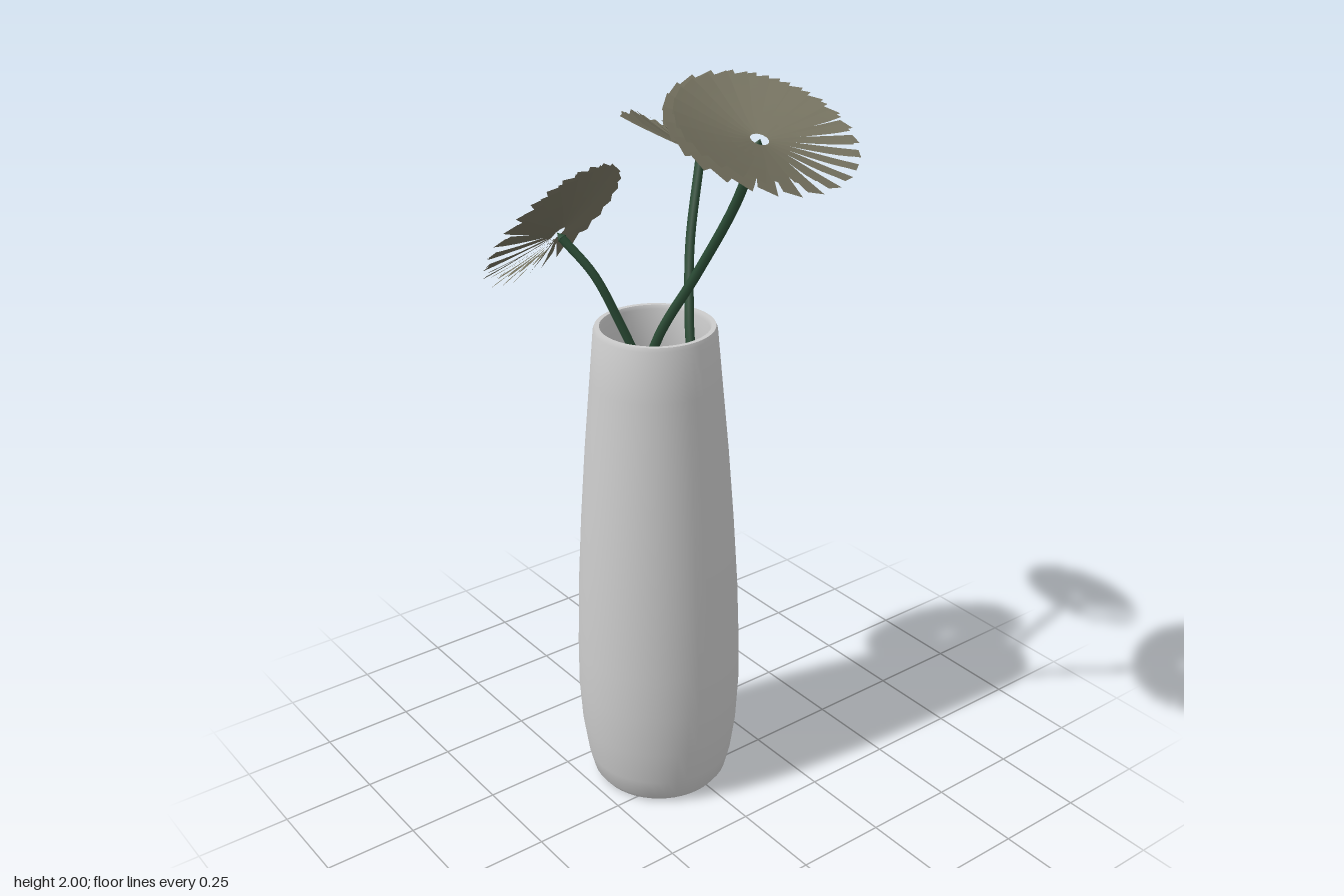
import * as THREE from 'three';
import { toCreasedNormals } from 'three/addons/utils/BufferGeometryUtils.js';

const vaseMat = new THREE.MeshStandardMaterial({ color: 0xcccccc });
const petalMat = new THREE.MeshStandardMaterial({ color: 0x74715f, side: THREE.DoubleSide });
const stemMat = new THREE.MeshStandardMaterial({ color: 0x2a4a34 });
const V = (p) => new THREE.Vector3(...p);

function named(mesh, name) {
  mesh.name = name;
  return mesh;
}

// Hollow vase: outer wall, rim, inner wall, floor
function makeVase() {
  const outer = [[0, 0.01], [0.15, 0.01], [0.155, 0.003], [0.172, 0.006], [0.186, 0.025],
    [0.2, 0.08], [0.214, 0.18], [0.221, 0.3], [0.22, 0.42], [0.214, 0.6], [0.202, 0.8],
    [0.187, 1.0], [0.169, 1.2], [0.157, 1.335], [0.153, 1.345]];
  const inner = [[0.141, 1.345], [0.137, 1.335], [0.15, 1.2], [0.168, 1.0], [0.195, 0.6],
    [0.2, 0.3], [0.18, 0.1], [0.15, 0.05], [0, 0.045]];
  const profile = [...outer, ...inner].map(([x, y]) => new THREE.Vector2(x, y));
  const vase = new THREE.Mesh(toCreasedNormals(new THREE.LatheGeometry(profile, 48), 0.6), vaseMat);
  vase.position.set(-0.04, 0, -0.09);
  return named(vase, 'vase');
}

// One petal: a square-ended strip that widens outward, cupped, swirled and rolled like a fan blade
function petalGeometry(length, width, cup) {
  const inner = 0.022;
  const geo = new THREE.PlaneGeometry(1, 1, 2, 6);
  const pos = geo.attributes.position;
  for (let i = 0; i < pos.count; i++) {
    const side = pos.getX(i);
    const t = pos.getY(i) + 0.5;
    const r = inner + (length - inner) * t;
    const w = side * (0.012 + (width - 0.012) * Math.min(1, t * 1.1));
    const swirl = 0.3 * t * (1 - t * 0.5);
    const c = Math.cos(swirl), s = Math.sin(swirl);
    pos.setXYZ(i, r * c - w * s, cup * t ** 1.4 + w * 0.28, r * s + w * c);
  }
  geo.computeVertexNormals();
  return geo;
}

// Flower head: two layers of overlapping petals around an open centre
function makeFlower(name, centre, normal, radius) {
  const flower = named(new THREE.Group(), name);
  const count = 25;
  [[radius, 0.05, 0.022, 0], [radius * 0.91, 0.045, 0.034, 0.5]].forEach(([len, width, cup, shift], layer) => {
    const geo = petalGeometry(len, width, cup);
    for (let i = 0; i < count; i++) {
      const petal = named(new THREE.Mesh(geo, petalMat), layer ? 'upperPetal' : 'lowerPetal');
      petal.rotation.y = ((i + shift) / count) * Math.PI * 2;
      flower.add(petal);
    }
  });
  flower.position.copy(V(centre));
  flower.quaternion.setFromUnitVectors(new THREE.Vector3(0, 1, 0), V(normal).normalize());
  return flower;
}

// Stem: a bent tube that ends in a small pointed tip inside the flower
function makeStem(name, points, normal) {
  const group = named(new THREE.Group(), name);
  const curve = new THREE.CatmullRomCurve3(points.map(V));
  group.add(named(new THREE.Mesh(new THREE.TubeGeometry(curve, 40, 0.012, 8), stemMat), 'stalk'));
  const ends = [[points.length - 1, V(normal).normalize()], [0, curve.getTangent(0).negate()]];
  for (const [index, dir] of ends) {
    const tip = named(new THREE.Mesh(new THREE.ConeGeometry(0.013, 0.02, 8), stemMat), 'stalkTip');
    tip.position.copy(V(points[index])).addScaledVector(dir, 0.008);
    tip.quaternion.setFromUnitVectors(new THREE.Vector3(0, 1, 0), dir);
    group.add(tip);
  }
  return group;
}

const FLOWERS = [
  { name: 'front', centre: [0, 1.885, 0.255], normal: [0, 0.92, 0.39], radius: 0.225,
    stem: [[-0.11, 0.85, -0.11], [-0.13, 1.1, -0.07], [-0.1, 1.35, 0], [-0.045, 1.53, 0.085],
      [-0.01, 1.72, 0.185], [0, 1.87, 0.25]] },
  { name: 'left', centre: [0.19, 1.72, -0.205], normal: [0.43, 0.9, 0], radius: 0.22,
    stem: [[-0.13, 0.8, 0], [-0.06, 1.0, 0.02], [0.005, 1.19, 0], [0.04, 1.35, -0.055],
      [0.1, 1.52, -0.13], [0.185, 1.705, -0.2]] },
  { name: 'back', centre: [-0.195, 1.565, -0.28], normal: [-0.25, 0.62, -0.74], radius: 0.215,
    stem: [[0.05, 0.8, -0.1], [0.01, 1.02, -0.085], [-0.05, 1.2, -0.125], [-0.1, 1.35, -0.165],
      [-0.145, 1.47, -0.205], [-0.192, 1.555, -0.27]] },
];

export function createModel() {
  const model = named(new THREE.Group(), 'vaseWithFlowers');
  model.add(makeVase());
  for (const f of FLOWERS) {
    model.add(makeFlower(f.name + 'Flower', f.centre, f.normal, f.radius));
    model.add(makeStem(f.name + 'Stem', f.stem, f.normal));
  }
  return model;
}
